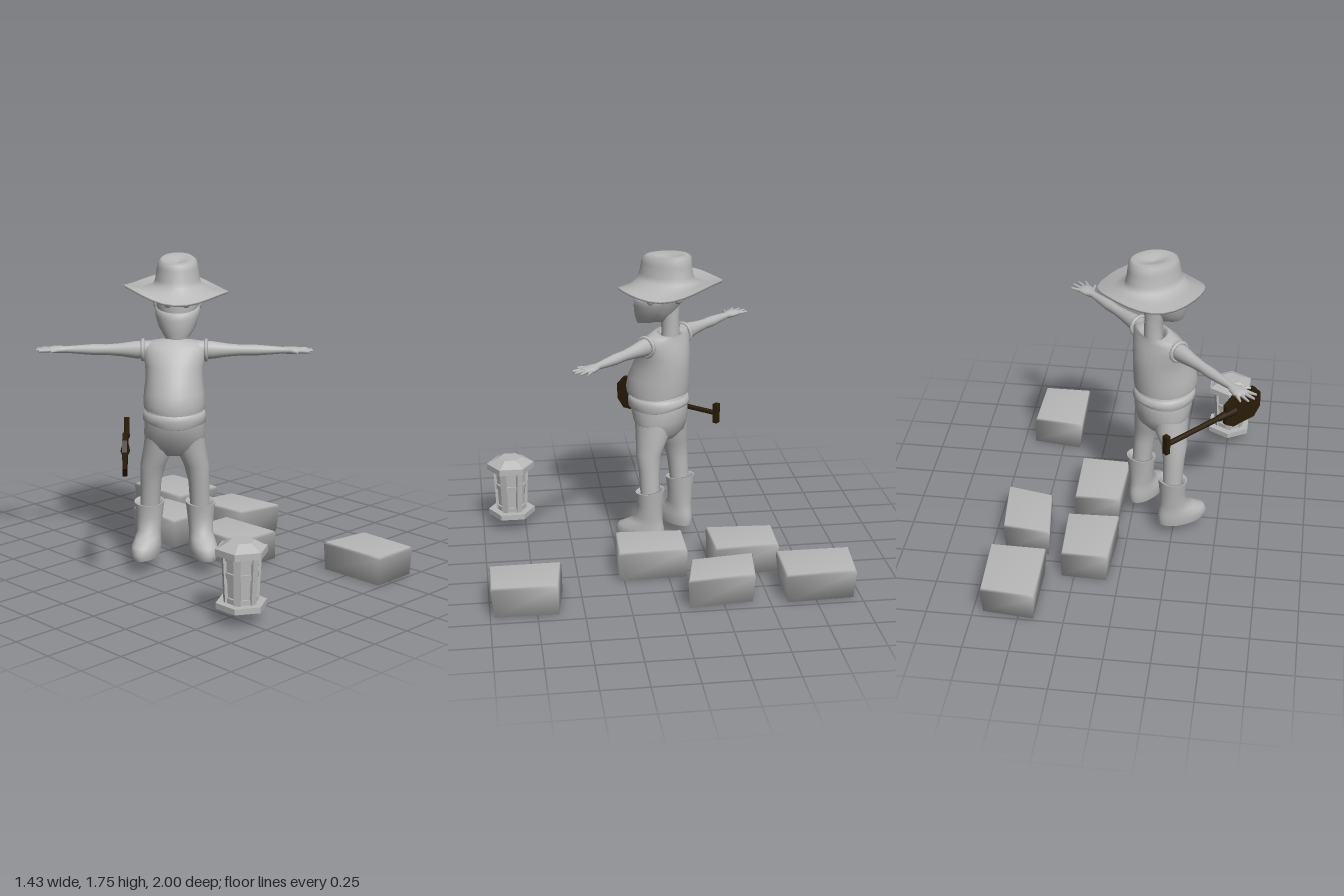
import * as THREE from 'three';

const stone = new THREE.MeshStandardMaterial({ color: 0xb8b8b8 });
stone.name = 'plain grey';
const wood = new THREE.MeshStandardMaterial({ color: 0x2a1c08 });
wood.name = 'dark brown';

function add(parent, name, geo, mat = stone, pos = [0, 0, 0], rot = [0, 0, 0]) {
  const m = new THREE.Mesh(geo, mat);
  m.name = name;
  m.position.set(...pos);
  m.rotation.set(...rot);
  parent.add(m);
  return m;
}

function group(parent, name, x = 0, y = 0, z = 0, ry = 0) {
  const g = new THREE.Group();
  g.name = name;
  g.position.set(x, y, z);
  g.rotation.y = ry;
  parent.add(g);
  return g;
}

// Skin between closed loops of points; repeat a loop for a sharp edge
function loft(loops) {
  const n = loops[0].length, idx = [];
  for (let k = 0; k < loops.length - 1; k++) {
    for (let i = 0; i < n; i++) {
      const j = (i + 1) % n, a = k * n, b = a + n;
      idx.push(a + i, b + i, a + j, b + i, b + j, a + j);
    }
  }
  const geo = new THREE.BufferGeometry();
  geo.setAttribute('position', new THREE.Float32BufferAttribute(loops.flat(2), 3));
  geo.setIndex(idx);
  geo.computeVertexNormals();
  return geo;
}

// Elliptical loop: height, z centre, x radius, z radius, x centre, backward tilt, wave
function ring([y, cz, rx, rz, cx = 0, tilt = 0, wave = 0], n = 28) {
  return Array.from({ length: n }, (_, i) => {
    const t = i / n * Math.PI * 2, c = Math.cos(t), s = Math.sin(t);
    const lift = wave * (-0.7 * s - 0.5 * c + 0.6 * Math.sin(3 * t));
    return [cx + rx * c, y - tilt * s + lift, cz + rz * s];
  });
}
const rings = (list) => loft(list.map((r) => ring(r)));
const flat = (geo) => {
  const g = geo.toNonIndexed();
  g.computeVertexNormals();
  return g;
};

// Hewn block: four top corners, slightly tapered, with an inset underside
function block(parent, name, top, [dx, dz], taper) {
  const mx = top.reduce((s, p) => s + p[0], 0) / 4, mz = top.reduce((s, p) => s + p[1], 0) / 4;
  const at = (k, y, sx = 0, sz = 0) => top.map(([x, z]) => [mx + (x - mx) * k + sx, y, mz + (z - mz) * k + sz]);
  const foot = (k) => at(k, 0.005, dx, dz);
  add(parent, name, loft([foot(0), foot(0.55), foot(0.55), foot(taper), at(1, 0.155), at(0.95, 0.17), at(0, 0.17)]));
}

function buildLeg(parent, s) {
  const side = group(parent, s > 0 ? 'leftLeg' : 'rightLeg');
  add(side, 'trouserLeg', rings([
    [0.34, -0.025, 0.054, 0.054, s * 0.14], [0.5, -0.012, 0.058, 0.062, s * 0.133],
    [0.6, 0, 0.07, 0.075, s * 0.12], [0.7, 0, 0.084, 0.1, s * 0.088], [0.8, 0.01, 0.08, 0.11, s * 0.08],
  ]));
  const boot = group(side, 'boot', s * 0.143, 0, -0.026, s * 0.25);
  add(boot, 'bootShell', rings([
    [0.085, 0.06, 0, 0], [0.085, 0.06, 0.07, 0.14], [0.085, 0.06, 0.07, 0.14], [0.12, 0.064, 0.076, 0.15],
    [0.155, 0.056, 0.074, 0.138], [0.185, 0.028, 0.068, 0.104], [0.22, 0.006, 0.066, 0.078],
    [0.3, 0, 0.074, 0.074], [0.38, 0, 0.084, 0.082, 0, 0.01], [0.38, 0, 0.084, 0.082, 0, 0.01],
    [0.38, 0, 0.07, 0.068, 0, 0.01], [0.345, 0, 0.05, 0.05],
  ]));
}

function buildArm(parent, s) {
  const side = group(parent, s > 0 ? 'leftArm' : 'rightArm', 0, 1.24, -0.022);
  side.scale.x = s;
  const limb = rings([
    [0.13, 0, 0.052, 0.046], [0.21, 0, 0.048, 0.042], [0.29, 0, 0.036, 0.033], [0.37, 0, 0.029, 0.027],
    [0.44, 0, 0.03, 0.03], [0.52, 0, 0.024, 0.024], [0.59, 0, 0.018, 0.019], [0.62, 0, 0.02, 0.033],
    [0.66, 0.002, 0.019, 0.043], [0.69, 0.002, 0.014, 0.04], [0.7, 0.002, 0, 0],
  ]);
  add(side, 'armAndPalm', limb, stone, [0, 0, 0], [0, 0, -Math.PI / 2]);
  add(side, 'armhole', new THREE.TorusGeometry(0.053, 0.011, 8, 24), stone, [0.172, 0, 0], [0, Math.PI / 2, 0]);
  // Four spread fingers and a thumb
  const digits = [[0.685, -0.034, 0.4, 0.055], [0.69, -0.011, 0.12, 0.072], [0.69, 0.013, -0.1, 0.075], [0.685, 0.035, -0.35, 0.062], [0.635, 0.035, -0.85, 0.06]];
  for (const [x, z, turn, len] of digits) {
    const g = group(side, 'finger', x, 0, z, turn);
    const digit = new THREE.CylinderGeometry(0.006, 0.011, len, 8).rotateZ(-Math.PI / 2);
    add(g, 'digit', digit, stone, [len / 2 - 0.01, 0, 0]);
  }
}

function buildFigure(root) {
  const figure = group(root, 'figure', -0.165, 0, -0.025, -Math.PI / 4);
  for (const s of [1, -1]) {
    buildLeg(figure, s);
    buildArm(figure, s);
  }
  add(figure, 'trouserSeat', rings([
    [0.645, 0, 0, 0], [0.665, 0, 0.09, 0.075], [0.71, 0, 0.158, 0.115], [0.78, 0.01, 0.168, 0.146],
    [0.85, 0.02, 0.164, 0.163], [0.92, 0.025, 0.156, 0.158], [0.95, 0.025, 0.13, 0.13],
  ]));
  add(figure, 'waistband', rings([
    [0.85, 0.02, 0.162, 0.16, 0, 0, 0.012], [0.855, 0.021, 0.172, 0.172, 0, 0, 0.012], [0.885, 0.023, 0.173, 0.174],
    [0.91, 0.024, 0.168, 0.168], [0.915, 0.024, 0.15, 0.15],
  ]));
  add(figure, 'vest', rings([
    [0.935, 0.03, 0.145, 0.15], [0.928, 0.03, 0.166, 0.178, 0, 0, 0.008], [0.928, 0.03, 0.166, 0.178, 0, 0, 0.008],
    [0.96, 0.031, 0.169, 0.183], [1.02, 0.022, 0.166, 0.178], [1.09, 0.004, 0.157, 0.162], [1.16, -0.012, 0.16, 0.142],
    [1.22, -0.02, 0.174, 0.117], [1.262, -0.028, 0.174, 0.094], [1.285, -0.038, 0.145, 0.078],
    [1.295, -0.05, 0.085, 0.07, 0, -0.012], [1.285, -0.054, 0.065, 0.058, 0, -0.015], [1.24, -0.055, 0.05, 0.05],
  ]));
  add(figure, 'neck', rings([
    [1.22, -0.055, 0.056, 0.054], [1.3, -0.062, 0.05, 0.05], [1.38, -0.056, 0.05, 0.052], [1.46, -0.04, 0.07, 0.07],
  ]));

  const head = group(figure, 'head', 0.018);
  add(head, 'skull', rings([
    [1.35, 0.02, 0, 0], [1.36, 0.02, 0.06, 0.075], [1.42, 0.003, 0.096, 0.104], [1.49, -0.01, 0.114, 0.122],
    [1.56, -0.02, 0.12, 0.132], [1.61, -0.03, 0.1, 0.12],
  ]));
  add(head, 'faceScarf', rings([
    [1.35, 0.05, 0, 0], [1.342, 0.062, 0.072, 0.082, 0, 0.015], [1.342, 0.062, 0.072, 0.082, 0, 0.015],
    [1.39, 0.036, 0.102, 0.117, 0, 0.015], [1.45, 0.018, 0.12, 0.137, 0, 0.02],
    [1.485, 0.01, 0.123, 0.138, 0, 0.022], [1.49, 0.01, 0.112, 0.122, 0, 0.022],
  ]));
  add(head, 'scarfKnot', new THREE.SphereGeometry(0.03, 12, 8), stone, [0, 1.5, -0.125]);
  for (const s of [1, -1]) {
    add(head, 'eye', new THREE.SphereGeometry(0.026, 14, 10), stone, [s * 0.045, 1.515, 0.088]);
    add(head, 'brow', new THREE.CapsuleGeometry(0.012, 0.045, 4, 10), stone, [s * 0.047, 1.545, 0.1], [0, s * 0.35, Math.PI / 2 + s * 0.15]);
    add(head, 'ear', new THREE.SphereGeometry(0.028, 12, 10).scale(0.5, 1.1, 0.9), stone, [s * 0.118, 1.5, -0.025]);
  }

  // Wide wavy brim running into a dented crown
  add(head, 'hat', rings([
    [1.6, -0.04, 0, 0], [1.592, -0.04, 0.12, 0.14], [1.56, -0.055, 0.2, 0.215, 0, 0, 0.015],
    [1.563, -0.068, 0.283, 0.285, -0.008, 0, 0.034], [1.574, -0.068, 0.283, 0.285, -0.008, 0, 0.034],
    [1.573, -0.055, 0.2, 0.215, 0, 0, 0.015], [1.6, -0.045, 0.135, 0.175], [1.63, -0.045, 0.121, 0.162],
    [1.69, -0.047, 0.112, 0.153], [1.728, -0.05, 0.104, 0.146, 0, 0.012], [1.74, -0.052, 0.086, 0.125, 0, 0.012],
    [1.728, -0.055, 0.045, 0.08, 0, 0.01], [1.715, -0.055, 0, 0],
  ]));
}

function buildShovel(root) {
  const shovel = group(root, 'shovel', -0.46, 0.76, -0.0975, 0.83);
  const outline = [[-0.355, -0.045], [-0.31, -0.098], [-0.15, -0.098], [-0.09, -0.06], [-0.09, 0.06], [-0.15, 0.098], [-0.31, 0.098], [-0.355, 0.045]];
  const shape = new THREE.Shape(outline.map(([x, y]) => new THREE.Vector2(x, y)));
  add(shovel, 'blade', new THREE.ExtrudeGeometry(shape, { depth: 0.024, bevelEnabled: false }), wood, [0, 0, -0.012]);
  const rod = (r0, r1, len) => new THREE.CylinderGeometry(r0, r1, len, 8).rotateZ(-Math.PI / 2);
  add(shovel, 'socket', rod(0.018, 0.026, 0.13), wood, [-0.1, 0, 0]);
  add(shovel, 'shaft', rod(0.015, 0.015, 0.42), wood, [0.14, 0, 0]);
  add(shovel, 'grip', new THREE.BoxGeometry(0.028, 0.115, 0.032), wood, [0.342, 0, 0]);
}

function buildLantern(root) {
  const lantern = group(root, 'lantern', -0.505, 0, 0.83);
  const hex = (name, y0, y1, r0, r1) =>
    add(lantern, name, flat(new THREE.CylinderGeometry(r1, r0, y1 - y0, 6)), stone, [0, (y0 + y1) / 2, 0]);
  hex('base', 0.087, 0.118, 0.136, 0.136);
  hex('panes', 0.115, 0.37, 0.077, 0.09);
  hex('lowerBand', 0.118, 0.145, 0.09, 0.091);
  hex('middleBand', 0.25, 0.28, 0.096, 0.098);
  hex('upperBand', 0.345, 0.37, 0.101, 0.103);
  hex('eaves', 0.37, 0.405, 0.138, 0.138);
  hex('roof', 0.405, 0.44, 0.13, 0.068);
  for (let i = 0; i < 6; i++) {
    const spoke = group(lantern, 'post', 0, 0, 0, i * Math.PI / 3);
    add(spoke, 'postBar', new THREE.BoxGeometry(0.034, 0.255, 0.016), stone, [0, 0.243, 0.088], [0.05, 0, 0]);
  }
}

export function createModel() {
  const root = new THREE.Group();
  root.name = 'diggerScene';
  buildFigure(root);
  buildShovel(root);
  buildLantern(root);
  // Scattered stone blocks
  block(root, 'farBlock', [[0.405, -1], [0.705, -0.97], [0.72, -0.58], [0.405, -0.585]], [0, 0], 0.93);
  block(root, 'backBlock', [[0.06, -0.63], [0.32, -0.62], [0.335, -0.26], [0.04, -0.25]], [0.005, 0], 0.97);
  block(root, 'sideBlock', [[0.41, -0.455], [0.68, -0.42], [0.715, -0.05], [0.45, -0.105]], [0, 0], 0.93);
  block(root, 'nearBlock', [[0.06, -0.11], [0.32, -0.105], [0.33, 0.28], [0.04, 0.27]], [0.008, 0], 0.98);
  block(root, 'frontBlock', [[0.385, 0.6], [0.68, 0.64], [0.67, 0.995], [0.39, 0.995]], [0.01, -0.01], 0.96);
  return root;
}
